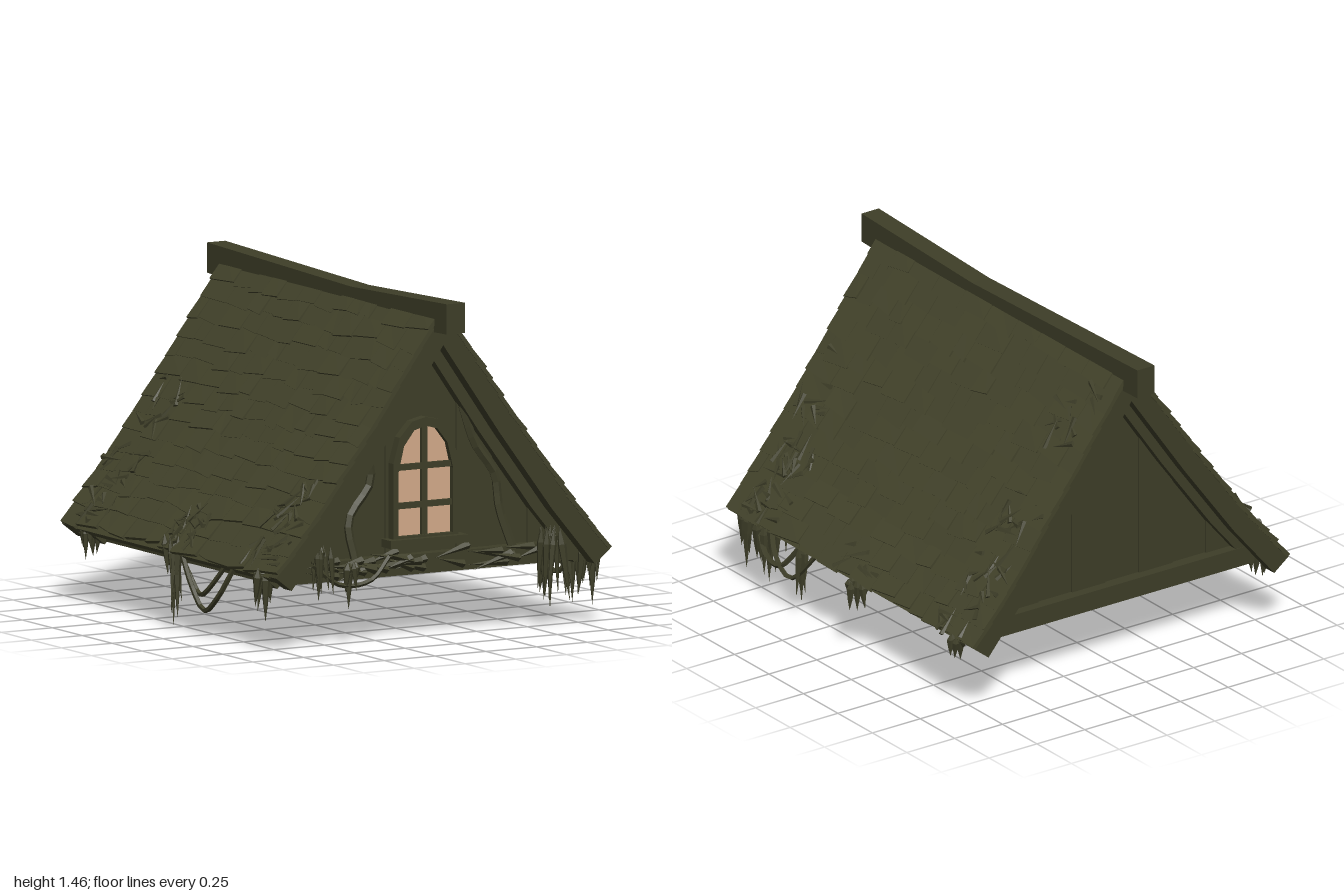
import * as THREE from 'three';
import { mergeGeometries } from 'three/addons/utils/BufferGeometryUtils.js';

let seed = 7;
const rnd = (a = 0, b = 1) => {
  seed = (seed * 16807) % 2147483647;
  return a + (b - a) * (seed / 2147483647);
};

const flat = (color, name, side = THREE.FrontSide) => {
  const m = new THREE.MeshStandardMaterial({ color, flatShading: true, side });
  m.name = name;
  return m;
};

// Roof profile from ridge to eave (x, y), slightly sagging
const PROFILE = [[0.03, 1.4], [0.36, 0.935], [0.62, 0.585], [0.83, 0.335]].map(p => new THREE.Vector2(...p));
const N = new THREE.Vector2(0.79, 0.61);

// Height of the roof line at x
function roofY(x) {
  const i = x < 0.36 ? 0 : x < 0.62 ? 1 : 2;
  const a = PROFILE[i], b = PROFILE[i + 1];
  return a.y + (b.y - a.y) * (x - a.x) / (b.x - a.x);
}

// Profile pushed inward by o, with its top end meeting the centre line
function inset(o) {
  const pts = PROFILE.map(p => p.clone().addScaledVector(N, -o));
  const k = -pts[0].x / N.y;
  pts[0].set(0, pts[0].y - k * N.x);
  return pts;
}

function extrude(points, z, depth, holes = []) {
  const s = new THREE.Shape(points);
  holes.forEach(h => s.holes.push(new THREE.Path(h)));
  return new THREE.ExtrudeGeometry(s, { depth, bevelEnabled: false }).translate(0, 0, z);
}
const band = (o1, o2, z, depth) => extrude([...inset(o1), ...inset(o2).reverse()], z, depth);

// Frame on the roof slope: local x runs down the slope, y is outward, z along the ridge
function slopeMatrix(s, z, lift) {
  const lens = [0, 1, 2].map(i => PROFILE[i].distanceTo(PROFILE[i + 1]));
  let i = 0;
  while (i < 2 && s > lens[i]) s -= lens[i++];
  const d = PROFILE[i + 1].clone().sub(PROFILE[i]).normalize();
  const p = PROFILE[i].clone().addScaledVector(d, s);
  return new THREE.Matrix4().makeBasis(
    new THREE.Vector3(d.x, d.y, 0), new THREE.Vector3(-d.y, d.x, 0), new THREE.Vector3(0, 0, 1)
  ).setPosition(p.x - d.y * lift, p.y + d.x * lift, z);
}

// Arched window outline
const arch = (w, b, t) => [[-w, b], [w, b], [w, t - 0.19], [w * 0.8, t - 0.08], [w * 0.42, t - 0.015],
  [0, t], [-w * 0.42, t - 0.015], [-w * 0.8, t - 0.08], [-w, t - 0.19]].map(p => new THREE.Vector2(...p));

// Leaf-like hanging strand, top at the origin
const strand = (r, h) => new THREE.LatheGeometry(
  [[0, -h], [r * 0.6, -h * 0.62], [r, -h * 0.25], [0, 0]].map(p => new THREE.Vector2(...p)), 5);

export function createModel() {
  seed = 7;
  const model = new THREE.Group();
  const roofMat = flat(0x43432b, 'roof olive');
  const woodMat = flat(0x3e3e28, 'timber olive');
  const mossMat = flat(0x3f3f29, 'moss olive', THREE.DoubleSide);
  const glassMat = flat(0xd3aa8a, 'warm glass');
  const add = (parent, geo, mat, name) => {
    const m = new THREE.Mesh(geo, mat);
    m.name = name;
    parent.add(m);
    return m;
  };
  const box = (w, h, d, x, y, z) => new THREE.BoxGeometry(w, h, d).translate(x, y, z);

  // Each half is built on +x; the second is turned half way round
  for (const side of [1, -1]) {
    const half = new THREE.Group();
    half.name = side > 0 ? 'leftRoofHalf' : 'rightRoofHalf';
    if (side < 0) half.rotation.y = Math.PI;
    model.add(half);

    add(half, band(0.025, 0.06, -0.885, 1.77), roofMat, 'roofDeck');

    // Overlapping shingles of uneven width
    const shingles = [], rows = 14, step = 1.325 / rows;
    for (let r = 0; r < rows; r++) {
      let z = -0.9;
      while (z < 0.895) {
        let w = rnd(0.08, 0.2);
        if (z + w > 0.84) w = 0.9 - z;
        const len = step + 0.035;
        const g = new THREE.BoxGeometry(len, 0.018, w - 0.003);
        const pos = g.attributes.position, drop = rnd(-0.012, 0.014), skew = rnd(-0.01, 0.01), rise = rnd(0.003, 0.014);
        for (let i = 0; i < pos.count; i++) if (pos.getX(i) > 0) {
          pos.setX(i, pos.getX(i) + drop + skew * Math.sign(pos.getZ(i)));
          pos.setY(i, pos.getY(i) + rise);
        }
        shingles.push(g.applyMatrix4(slopeMatrix((r + 1) * step - len / 2, z + w / 2, -0.012)));
        z += w;
      }
    }
    add(half, mergeGeometries(shingles), roofMat, 'shingles');

    // Boards lining the underside
    const boards = [];
    for (let i = 0; i < 9; i++)
      boards.push(new THREE.BoxGeometry(0.125, 0.015, 1.4).applyMatrix4(slopeMatrix(0.16 + i * 0.135, 0, -0.066 - (i % 2) * 0.006)));
    add(half, mergeGeometries(boards), woodMat, 'ceilingBoards');

    // Verge boards at the roof ends, rafters against the gables
    for (const e of [1, -1]) {
      add(half, band(0.01, 0.105, e > 0 ? 0.83 : -0.895, 0.065), woodMat, 'vergeBoard');
      add(half, band(0.06, 0.125, e > 0 ? 0.69 : -0.75, 0.06), woodMat, 'rafter');
    }

    // Bottom frame
    add(half, box(0.07, 0.08, 1.4, 0.69, 0.31, 0), woodMat, 'sideSill');
    add(half, box(1.44, 0.085, 0.075, 0, 0.3125, 0.715), woodMat, 'endSill');

    // Vertical gable planks, alternately proud
    const planks = [], n = 8, W = 0.7;
    const top = x => Math.max(0.32, roofY(Math.abs(x)) - 0.09);
    for (let i = 0; i < n; i++) {
      const a = -W + i * 2 * W / n, b = a + 2 * W / n;
      const pts = [[a, 0.3], [b, 0.3], [b, top(b)], [a, top(a)]];
      planks.push(extrude(pts.map(p => new THREE.Vector2(...p)), 0.675 + (i % 2) * 0.008, 0.025));
    }
    add(half, mergeGeometries(planks), woodMat, 'gablePlanks');
  }

  // Ridge beam, lowest a little forward of the middle
  const ridge = new THREE.BoxGeometry(0.09, 0.13, 2, 1, 1, 10);
  const rp = ridge.attributes.position;
  for (let i = 0; i < rp.count; i++) {
    const z = rp.getZ(i);
    rp.setY(i, rp.getY(i) + 1.395 - 0.03 * (1 - (z > 0.2 ? (z - 0.2) / 0.8 : (0.2 - z) / 1.2)));
  }
  add(model, ridge, woodMat, 'ridgeBeam');

  // Arched front window
  const win = new THREE.Group();
  win.name = 'window';
  win.position.z = -0.095;
  model.add(win);
  add(win, new THREE.ShapeGeometry(new THREE.Shape(arch(0.14, 0.425, 0.915))).translate(0, 0, 0.82), glassMat, 'glass');
  add(win, extrude(arch(0.16, 0.41, 0.94), 0.79, 0.055, [arch(0.134, 0.435, 0.902)]), woodMat, 'windowFrame');
  add(win, mergeGeometries([box(0.028, 0.48, 0.016, 0, 0.665, 0.827),
    box(0.27, 0.026, 0.016, 0, 0.565, 0.827), box(0.27, 0.026, 0.016, 0, 0.73, 0.827)]), woodMat, 'glazingBars');
  add(win, box(0.38, 0.035, 0.09, 0, 0.408, 0.83), woodMat, 'windowSill');

  // Hanging moss tufts: x, z, top, tip, strands
  const strands = [];
  for (const [x, z, top, tip, n] of [
    [0.79, 0.8, 0.36, 0.08, 10], [0.78, 0.65, 0.36, 0.07, 9], [0.77, 0.43, 0.34, 0.05, 5], [-0.8, 0, 0.4, 0, 12],
    [0.81, -0.03, 0.34, 0.19, 6], [0.57, 0.82, 0.44, 0.08, 10], [-0.57, 0.82, 0.44, 0.2, 9], [-0.41, 0.8, 0.36, 0.15, 4],
    [-0.79, 0.75, 0.36, 0.12, 9], [-0.79, -0.75, 0.34, 0.19, 7], [0.79, -0.75, 0.34, 0.22, 6]]) {
    for (let i = 0; i < n; i++) {
      const h = (top - tip) * (i ? rnd(0.45, 0.92) : 1);
      const g = strand(rnd(0.014, 0.022), h);
      if (i) g.rotateX(rnd(-0.15, 0.15)).rotateZ(rnd(-0.12, 0.12));
      const spread = i ? 0.045 : 0;
      strands.push(g.translate(x + rnd(-spread, spread), top, z + rnd(-spread, spread) * (Math.abs(x) > 0.7 ? 1 : 0.6)));
    }
  }
  add(model, mergeGeometries(strands), mossMat, 'hangingMoss');

  // Moss patches lying on the roof: side, z, distance down slope, spread, count
  const moss = [];
  for (const [side, z, s, ds, n] of [
    [1, 0.7, 1.13, 0.2, 34], [1, -0.72, 1.0, 0.35, 34], [-1, 0.7, 1.1, 0.22, 34], [-1, -0.72, 0.95, 0.4, 38],
    [-1, 0.05, 1.2, 0.1, 24], [1, 0, 1.25, 0.05, 8], [1, 0.75, 0.75, 0.25, 12], [1, -0.7, 0.25, 0.15, 12]]) {
    for (let i = 0; i < n; i++) {
      const g = new THREE.ConeGeometry(0.014, rnd(0.06, 0.15), 4).rotateY(rnd(0, 3)).scale(1, 1, 0.6)
        .rotateX(Math.PI / 2 + rnd(-0.15, 0.15)).rotateY(rnd(0, 6.28));
      g.applyMatrix4(slopeMatrix(Math.min(1.28, s + rnd(-ds, ds)), side * (z + rnd(-0.12, 0.12)), rnd(0.002, 0.014)));
      moss.push(side < 0 ? g.rotateY(Math.PI) : g);
    }
  }
  // Tangle along the front sill
  for (let i = 0; i < 34; i++)
    moss.push(new THREE.ConeGeometry(0.018, rnd(0.1, 0.2), 4).rotateZ(Math.PI / 2 + rnd(-0.35, 0.35))
      .translate(i < 24 ? rnd(-0.56, -0.08) : rnd(0.1, 0.5), rnd(0.295, 0.36), rnd(0.74, 0.8)));
  add(model, mergeGeometries(moss), mossMat, 'mossPatches');

  // Looping vines at the eaves and thick creepers on the front gable
  const vine = (r, ...pts) => new THREE.TubeGeometry(
    new THREE.CatmullRomCurve3(pts.map(p => new THREE.Vector3(...p))), 14, r, 5);
  add(model, mergeGeometries([
    vine(0.012, [0.79, 0.33, 0.72], [0.83, 0.22, 0.6], [0.83, 0.21, 0.5], [0.79, 0.33, 0.4]),
    vine(0.011, [0.79, 0.34, 0.62], [0.84, 0.25, 0.52], [0.82, 0.17, 0.45], [0.78, 0.32, 0.3]),
    vine(0.012, [-0.79, 0.33, 0.5], [-0.82, 0.18, 0.4], [-0.81, 0.11, 0.27], [-0.81, 0.2, 0.17], [-0.79, 0.33, 0.05]),
    vine(0.011, [-0.78, 0.33, 0.42], [-0.81, 0.2, 0.3], [-0.79, 0.17, 0.2], [-0.79, 0.26, 0.1], [-0.78, 0.34, 0]),
    vine(0.02, [-0.2, 1.0, 0.71], [-0.27, 0.84, 0.715], [-0.25, 0.68, 0.71], [-0.36, 0.52, 0.715], [-0.34, 0.34, 0.74]),
    vine(0.02, [0.2, 0.97, 0.71], [0.26, 0.8, 0.715], [0.36, 0.66, 0.71], [0.38, 0.52, 0.715], [0.43, 0.35, 0.74]),
    vine(0.011, [-0.6, 0.36, 0.82], [-0.45, 0.26, 0.8], [-0.3, 0.27, 0.8], [-0.2, 0.36, 0.78])
  ]), mossMat, 'vines');

  return model;
}
